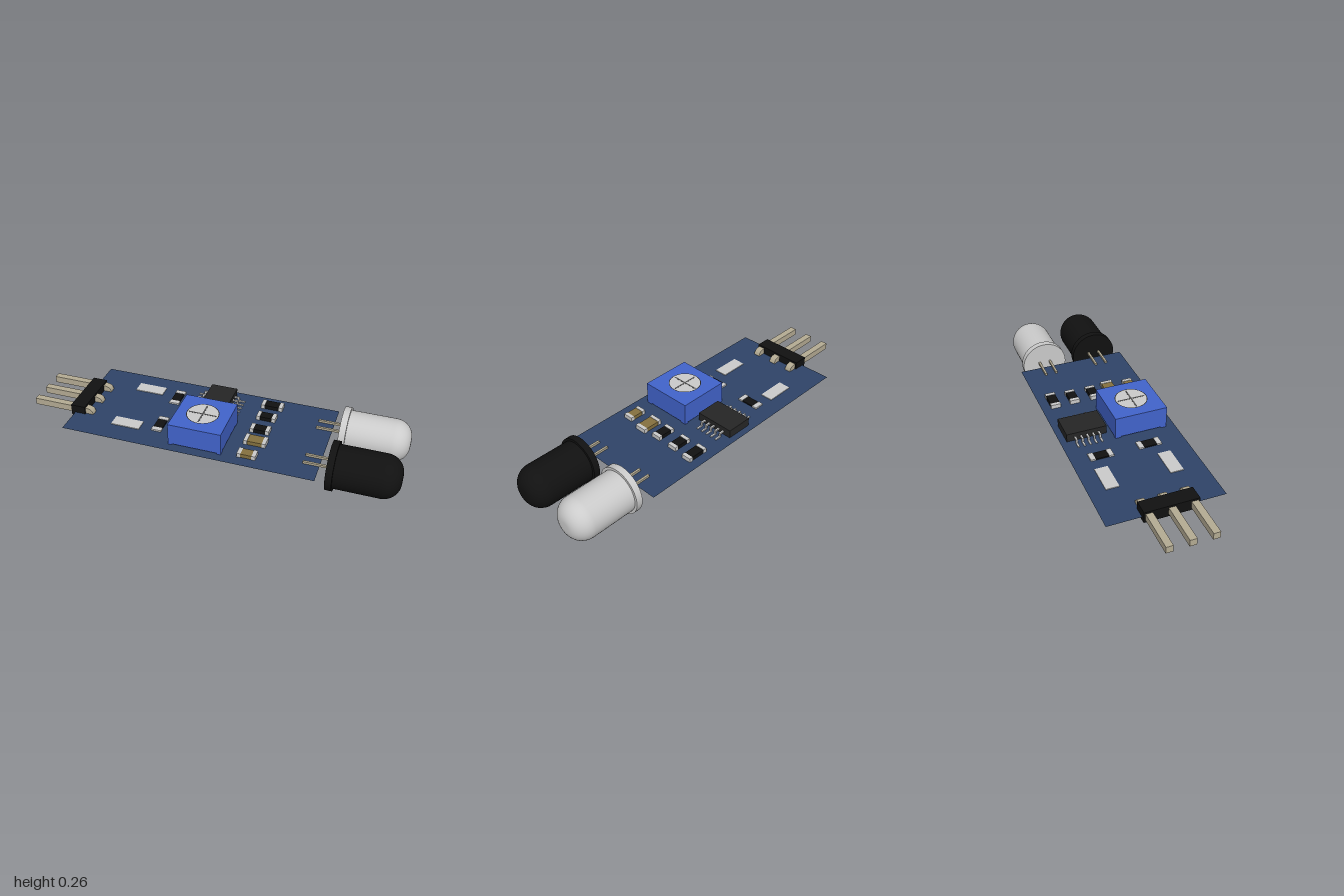
import * as THREE from 'three';

const mat = (color, side = THREE.FrontSide) => new THREE.MeshStandardMaterial({ color, side });
const BOARD_Y = 0.132;

export function createModel() {
  const root = new THREE.Group();
  const grey = mat(0xcccccc), black = mat(0x111111), chipBlack = mat(0x262626);
  const tan = mat(0xb5ac94), brown = mat(0x85713f), blue = mat(0x4264cc);

  const add = (name, geometry, material, parent = root) => {
    const mesh = new THREE.Mesh(geometry, material);
    mesh.name = name;
    parent.add(mesh);
    return mesh;
  };
  // Box given by its limits on each axis
  const box = (name, x0, x1, y0, y1, z0, z1, material, parent) => {
    const mesh = add(name, new THREE.BoxGeometry(x1 - x0, y1 - y0, z1 - z0), material, parent);
    mesh.position.set((x0 + x1) / 2, (y0 + y1) / 2, (z0 + z1) / 2);
    return mesh;
  };
  const group = (name) => {
    const g = new THREE.Group();
    g.name = name;
    root.add(g);
    return g;
  };

  // Paper-thin circuit board
  const board = add('circuitBoard', new THREE.PlaneGeometry(1.355, 0.61).rotateX(-Math.PI / 2),
    mat(0x2f4468, THREE.DoubleSide));
  board.position.set(-0.082, BOARD_Y, -0.002);

  // Two bulbs lying on their side, each with a flange and two legs
  const bulb = (name, z, material) => {
    const g = group(name);
    const flange = [[0, 0.64], [0.127, 0.64], [0.127, 0.675], [0.113, 0.675]];
    const addLathe = (part, points) => {
      const mesh = add(part, new THREE.LatheGeometry(points.map(([r, x]) => new THREE.Vector2(r, x)), 48),
        material, g);
      mesh.rotation.z = -Math.PI / 2;
      mesh.position.set(0, 0.128, z);
    };
    // Flat rings are separate strips so that their edges stay sharp
    for (let i = 0; i < 3; i++) addLathe('flange', [flange[i], flange[i + 1]]);
    const profile = [[0.113, 0.675]];
    for (let i = 0; i <= 10; i++) {
      const a = (i / 10) * Math.PI / 2;
      profile.push([0.023 + 0.09 * Math.cos(a), 0.91 + 0.09 * Math.sin(a)]);
    }
    profile.push([0, 1]);
    addLathe('lens', profile);
    for (const dz of [-0.031, 0.031])
      box('leg', 0.51, 0.645, 0.132, 0.144, z + dz - 0.006, z + dz + 0.006, tan, g);
  };
  bulb('darkBulb', 0.152, black);
  bulb('clearBulb', -0.152, grey);

  // Adjusting block with a slotted round dial
  const pot = group('adjuster');
  box('adjusterBody', -0.18, 0.103, 0.138, 0.255, -0.03, 0.255, blue, pot);
  for (const x of [-0.17, 0.093])
    for (const z of [-0.015, 0.24])
      box('adjusterFoot', x - 0.01, x + 0.01, BOARD_Y, 0.138, z - 0.015, z + 0.015, blue, pot);
  const dial = add('dial', new THREE.CylinderGeometry(0.083, 0.083, 0.01, 40), grey, pot);
  dial.position.set(-0.04, 0.2515, 0.112);
  const rim = add('dialRim', new THREE.RingGeometry(0.082, 0.086, 40).rotateX(-Math.PI / 2), chipBlack, pot);
  rim.position.set(-0.04, 0.2568, 0.112);
  const slot = mat(0x555555);
  box('dialSlot', -0.115, 0.035, 0.25, 0.2572, 0.108, 0.116, slot, pot);
  box('dialSlot', -0.044, -0.036, 0.25, 0.2572, 0.037, 0.187, slot, pot);

  // Chip with stepped legs along both sides
  const chip = group('chip');
  box('chipBody', -0.12, 0.026, 0.135, 0.18, -0.273, -0.055, chipBlack, chip);
  for (let i = 0; i < 5; i++) {
    const z = -0.228 + i * 0.032;
    for (const s of [-1, 1]) {
      const span = (name, a, b, y0, y1) => {
        const xs = [-0.047 + s * a, -0.047 + s * b].sort((p, q) => p - q);
        box(name, xs[0], xs[1], y0, y1, z - 0.005, z + 0.005, grey, chip);
      };
      span('chipLegTop', 0.07, 0.102, 0.15, 0.158);
      span('chipLegDrop', 0.094, 0.102, 0.13, 0.158);
      span('chipLegFoot', 0.1, 0.133, 0.129, 0.137);
    }
  }

  // Small two-ended components: body between metal end caps, along x or z
  const component = (name, x, z, length, width, top, material, alongZ = false, cap = 0.02) => {
    const g = group(name);
    g.position.set(x, 0, z);
    if (alongZ) g.rotation.y = Math.PI / 2;
    const h = length / 2, w = width / 2;
    box('body', cap - h, h - cap, 0.126, top - 0.002, -w + 0.002, w - 0.002, material, g);
    for (const s of [-1, 1]) {
      const c = s * (h - cap / 2);
      box('endCap', c - cap / 2, c + cap / 2, 0.125, top, -w, w, grey, g);
    }
  };
  component('resistor', 0.243, -0.23, 0.118, 0.055, 0.155, black);
  component('resistor', 0.24, -0.12, 0.104, 0.053, 0.155, black);
  component('resistor', 0.238, -0.003, 0.104, 0.053, 0.155, black);
  component('capacitor', 0.243, 0.1, 0.118, 0.066, 0.156, brown);
  component('capacitor', 0.232, 0.217, 0.098, 0.054, 0.155, brown);
  for (const z of [-0.149, 0.112])
    component('sideResistor', -0.28, z, 0.124, 0.055, 0.141, black, true, 0.026);

  // Flat indicator pads
  for (const z of [-0.183, 0.155])
    box('indicator', -0.53, -0.372, 0.129, 0.136, z - 0.035, z + 0.035, grey);

  // Header block with three pins bent down through the board
  const header = group('pinHeader');
  box('headerBlock', -0.78, -0.7, 0.113, 0.175, -0.13, 0.152, black, header);
  const outline = new THREE.Shape();
  outline.moveTo(-1, 0.128);
  outline.lineTo(-0.7, 0.128);
  outline.quadraticCurveTo(-0.69, 0.128, -0.69, 0.115);
  outline.lineTo(-0.69, 0.088);
  outline.lineTo(-0.655, 0.088);
  outline.lineTo(-0.655, 0.125);
  outline.quadraticCurveTo(-0.655, 0.165, -0.695, 0.165);
  outline.lineTo(-1, 0.165);
  const pinShape = new THREE.ExtrudeGeometry(outline, { depth: 0.036, bevelEnabled: false, curveSegments: 5 });
  for (const z of [-0.104, 0.011, 0.126]) {
    const pin = add('pin', pinShape, tan, header);
    pin.position.z = z - 0.018;
  }
  return root;
}
